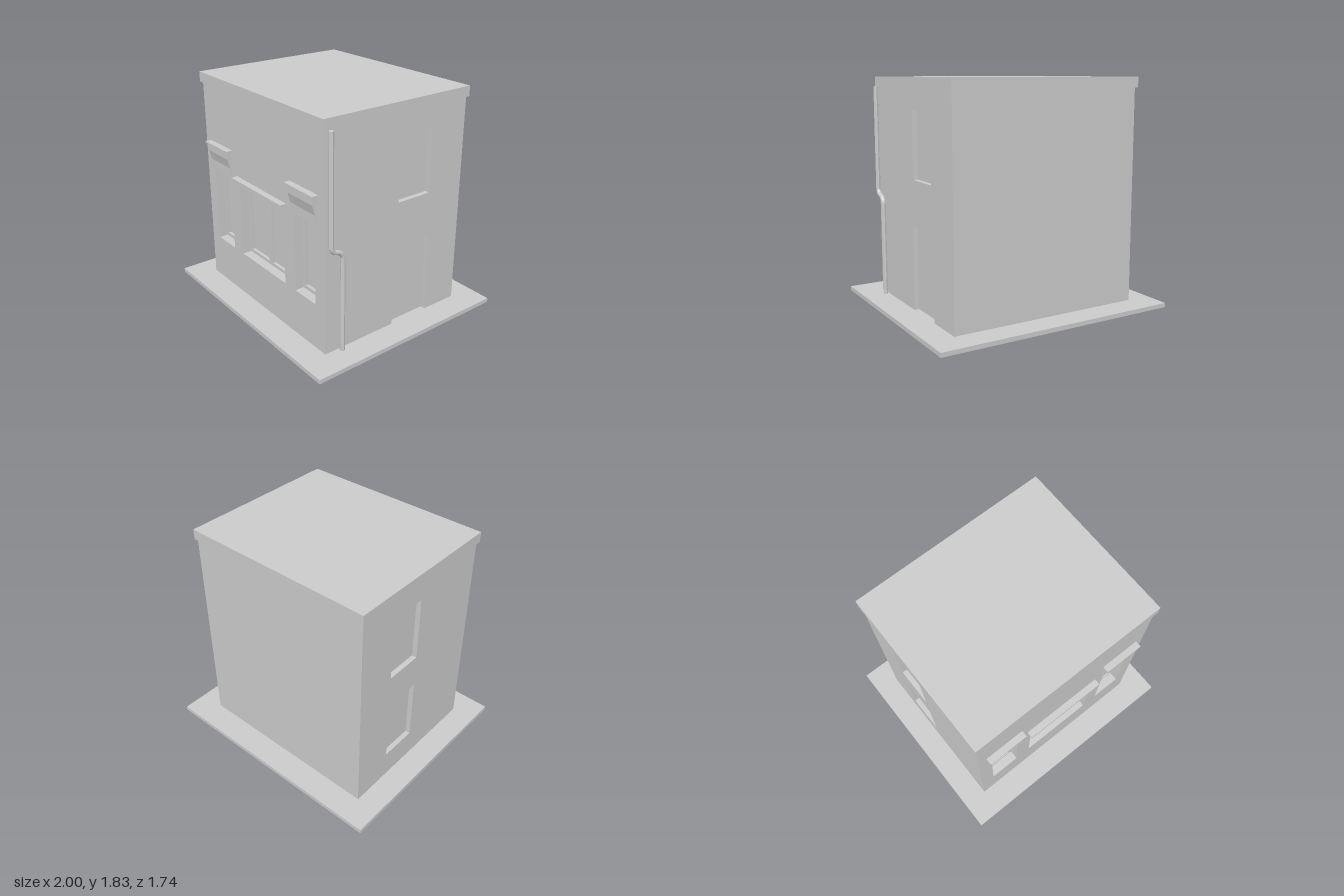
import * as THREE from 'three';

const grey = new THREE.MeshStandardMaterial({ color: 0xcccccc, flatShading: true });

function add(parent, name, geometry, x = 0, y = 0, z = 0) {
  const mesh = new THREE.Mesh(geometry, grey);
  mesh.name = name;
  mesh.position.set(x, y, z);
  parent.add(mesh);
  return mesh;
}

// Box given by its limits on each axis
function block(parent, name, x0, x1, y0, y1, z0, z1) {
  return add(parent, name, new THREE.BoxGeometry(x1 - x0, y1 - y0, z1 - z0),
    (x0 + x1) / 2, (y0 + y1) / 2, (z0 + z1) / 2);
}

const corners = (x0, x1, y0, y1) =>
  [[x0, y0], [x1, y0], [x1, y1], [x0, y1]].map(([x, y]) => new THREE.Vector2(x, y));

// Upright panel with rectangular openings, each [x0, x1, y0, y1]
function panel(outline, openings, depth) {
  const shape = new THREE.Shape(corners(...outline));
  for (const o of openings) shape.holes.push(new THREE.Path(corners(...o).reverse()));
  return new THREE.ExtrudeGeometry(shape, { depth, bevelEnabled: false });
}

export function createModel() {
  const model = new THREE.Group();
  model.name = 'house';

  const left = -0.802, right = 0.789, half = 0.661;
  const bottom = 0.01, top = 1.76, sideDepth = 0.04, frontDepth = 0.1;

  // Ground slab and flat roof
  block(model, 'groundSlab', -1, 1, 0, 0.035, -0.872, 0.872);
  block(model, 'roof', -0.818, 0.802, 1.746, 1.828, -0.68, 0.68);

  // Solid core: its faces close the window and door recesses
  block(model, 'core', left + sideDepth, right - sideDepth, bottom, top, -half, half - frontDepth);

  // Side walls, drawn along -z and turned to face sideways
  const upperWindow = [0.013, 0.324, 1.06, 1.585];
  const lowerWindow = [0.013, 0.324, 0.26, 0.785];
  const door = [-0.011, 0.348, 0.025, 0.7];
  for (const [name, x, openings] of [
    ['rightWall', right - sideDepth, [upperWindow, door]],
    ['leftWall', left, [upperWindow, lowerWindow]],
  ]) {
    add(model, name, panel([-half, half, bottom, top], openings, sideDepth), x).rotation.y = Math.PI / 2;
  }

  // Front wall with three window openings and their recessed frames
  const y0 = 0.405, y1 = 1.05, p0 = 0.432, p1 = 1.03;
  const windows = [
    { name: 'leftWindow', x: [-0.69, -0.443], panes: [[-0.668, -0.468]] },
    { name: 'middleWindow', x: [-0.31, 0.295], panes: [[-0.285, -0.033], [0.015, 0.27]] },
    { name: 'rightWindow', x: [0.428, 0.675], panes: [[0.453, 0.653]] },
  ];
  add(model, 'frontWall', panel([left + sideDepth, right - sideDepth, bottom, top],
    windows.map(w => [...w.x, y0, y1]), frontDepth), 0, 0, half - frontDepth);
  for (const w of windows) {
    add(model, w.name + 'Frame', panel([...w.x, y0, y1],
      w.panes.map(p => [...p, p0, p1]), 0.025), 0, 0, half - frontDepth);
  }

  // Ledge over the middle window
  block(model, 'middleLedge', -0.345, 0.332, 1.05, 1.077, half - 0.01, 0.713);

  // Moulded hoods with thin caps over the outer windows
  const hood = new THREE.Shape([
    [0.65, 1.048], [0.675, 1.048], [0.675, 1.12], [0.697, 1.2], [0.697, 1.262], [0.65, 1.262],
  ].map(([z, y]) => new THREE.Vector2(z, y)));
  for (const cx of [-0.567, 0.55]) {
    add(model, 'windowHood', new THREE.ExtrudeGeometry(hood, { depth: 0.29, bevelEnabled: false }),
      cx + 0.145).rotation.y = -Math.PI / 2;
    block(model, 'hoodCap', cx - 0.166, cx + 0.166, 1.26, 1.274, 0.65, 0.713);
  }

  // Drainpipe with an offset bend on the right wall
  const px = 0.818;
  const at = (y, z) => new THREE.Vector3(px, y, z);
  const path = new THREE.CurvePath();
  path.add(new THREE.LineCurve3(at(1.745, 0.629), at(0.91, 0.629)));
  path.add(new THREE.QuadraticBezierCurve3(at(0.91, 0.629), at(0.87, 0.624), at(0.859, 0.582)));
  path.add(new THREE.QuadraticBezierCurve3(at(0.859, 0.582), at(0.845, 0.53), at(0.8, 0.525)));
  path.add(new THREE.LineCurve3(at(0.8, 0.525), at(0.03, 0.525)));
  add(model, 'drainpipe', new THREE.TubeGeometry(path, 120, 0.019, 8, false));
  const cap = add(model, 'drainpipeTop', new THREE.CircleGeometry(0.019, 8), px, 1.745, 0.629);
  cap.rotation.x = -Math.PI / 2;

  return model;
}
